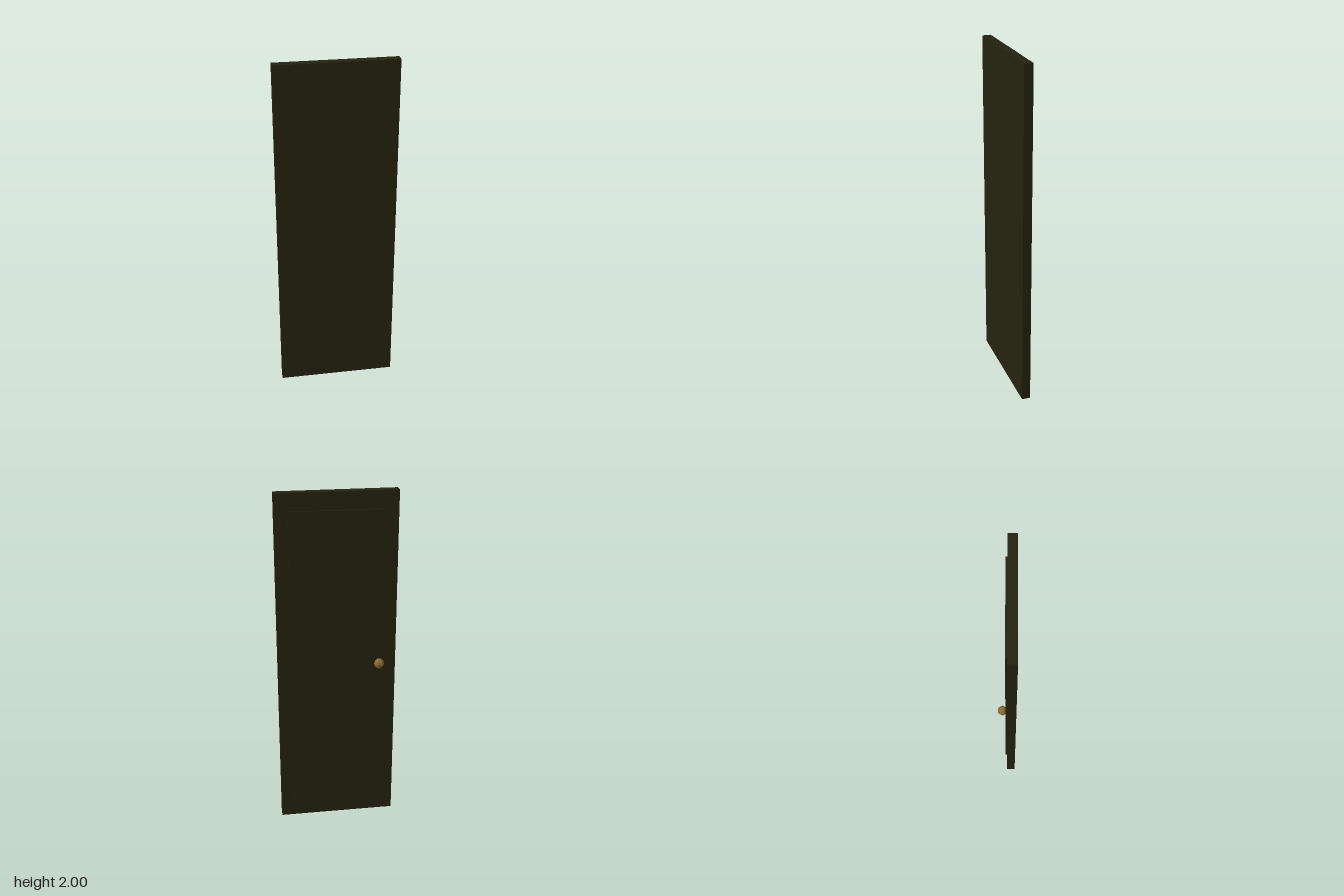
import * as THREE from 'three';

export function createModel() {
  const model = new THREE.Group();
  model.name = 'door';

  const darkWood = new THREE.MeshStandardMaterial({ color: 0x24220f });
  darkWood.name = 'darkWood';
  const brass = new THREE.MeshStandardMaterial({ color: 0x8a6a30, flatShading: true });
  brass.name = 'brass';

  const add = (name, geometry, material, x, y, z) => {
    const mesh = new THREE.Mesh(geometry, material);
    mesh.name = name;
    mesh.position.set(x, y, z);
    model.add(mesh);
  };

  // Door slab
  add('doorSlab', new THREE.BoxGeometry(0.68, 2, 0.05), darkWood, 0, 1, 0.025);

  // Raised panel on the back
  add('raisedPanel', new THREE.BoxGeometry(0.53, 1.8, 0.01), darkWood, 0, 1, -0.005);

  // Faceted knob beside the panel's edge
  add('knob', new THREE.SphereGeometry(0.0295, 6, 6), brass, -0.241, 1, -0.0265);

  return model;
}
